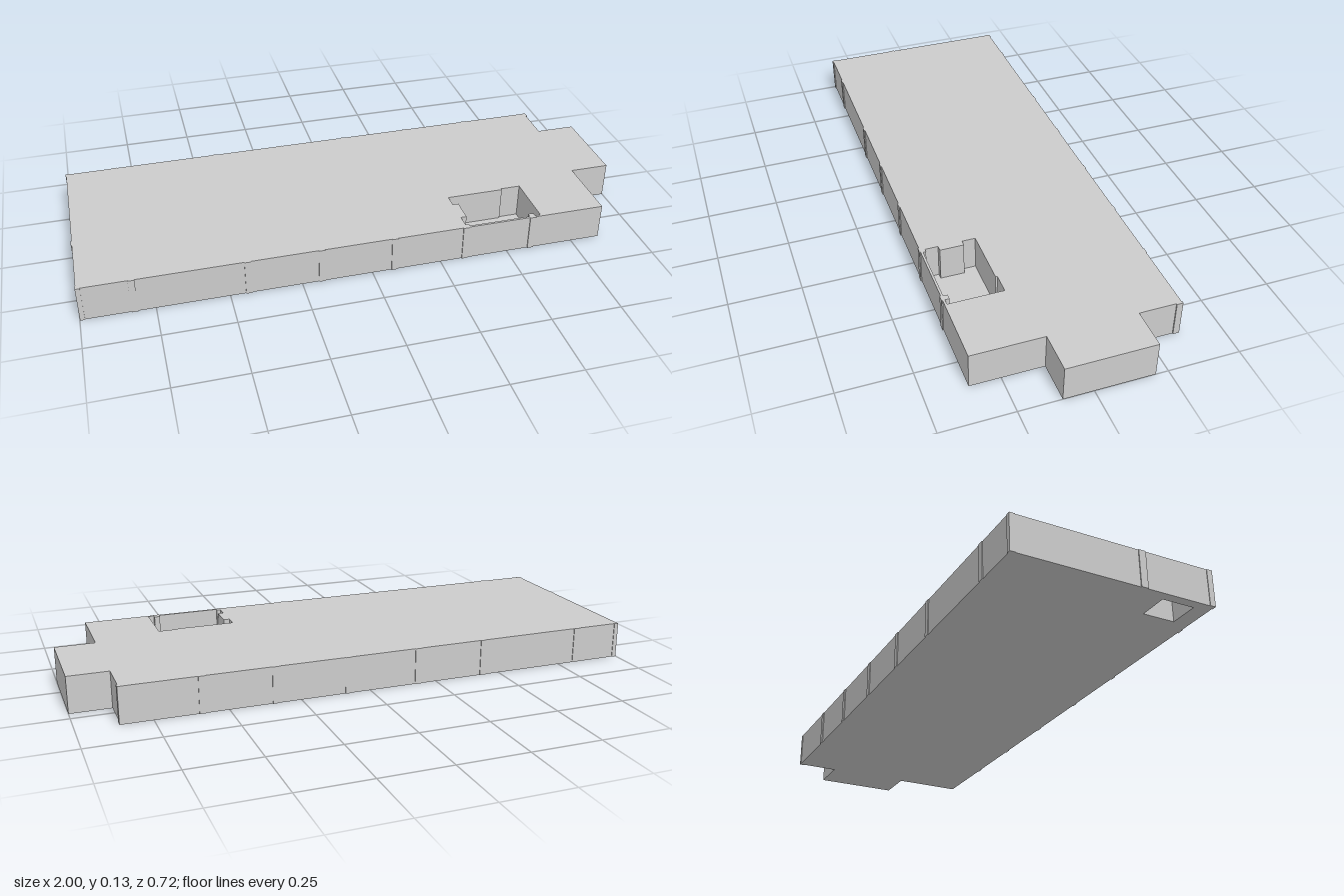
import * as THREE from 'three';

const H = 0.13;     // slab height
const SKIN = 0.005; // thickness left at the end of each recess

const material = new THREE.MeshStandardMaterial({ color: 0xcccccc, flatShading: true });

// plan points are [x, z]
const toPoints = (plan) => plan.map(([x, z]) => new THREE.Vector2(x, -z));

function addPlate(group, name, plan, y, height, holes = []) {
  const shape = new THREE.Shape(toPoints(plan));
  for (const hole of holes) shape.holes.push(new THREE.Path(toPoints(hole)));
  const geometry = new THREE.ExtrudeGeometry(shape, { depth: height, bevelEnabled: false });
  geometry.rotateX(-Math.PI / 2);
  const mesh = new THREE.Mesh(geometry, material);
  mesh.name = name;
  mesh.position.y = y;
  group.add(mesh);
}

function addRib(group, name, x, z, width, depth) {
  const mesh = new THREE.Mesh(new THREE.BoxGeometry(width, H, depth), material);
  mesh.name = name;
  mesh.position.set(x, H / 2, z);
  group.add(mesh);
}

export function createModel() {
  const group = new THREE.Group();
  group.name = 'slab';

  // outline with the projecting block at the left end
  const outline = [
    [-0.997, 0.356], [0.857, 0.356], [0.857, 0.104], [1, 0.104],
    [1, -0.207], [0.857, -0.207], [0.857, -0.357], [-0.997, -0.357],
  ];

  // notched well open at the top
  const well = [
    [0.342, 0.16], [0.55, 0.16], [0.55, 0.154], [0.621, 0.154], [0.621, 0.348],
    [0.6, 0.348], [0.6, 0.333], [0.58, 0.333], [0.58, 0.348],
    [0.355, 0.348], [0.355, 0.338], [0.342, 0.338],
    [0.342, 0.292], [0.363, 0.292], [0.363, 0.207], [0.342, 0.207],
  ];

  // small pocket open underneath
  const pocket = [[-0.965, 0.185], [-0.865, 0.185], [-0.865, 0.3], [-0.965, 0.3]];

  addPlate(group, 'body', outline, 0, H, [well, pocket]);
  addPlate(group, 'wellFloor', well, 0, SKIN);
  addPlate(group, 'pocketCeiling', pocket, H - SKIN, SKIN);

  // shallow ribs along both long sides
  for (const x of [-0.82, -0.435, -0.18, 0.08, 0.34, 0.59]) {
    for (const side of [-1, 1]) addRib(group, 'sideRib', x, side * 0.3565, 0.022, 0.006);
  }

  // end ribs
  addRib(group, 'endRib', -0.9965, 0.097, 0.007, 0.025);
  for (const side of [-1, 1]) addRib(group, 'cornerRib', -0.991, side * 0.349, 0.016, 0.02);
  addRib(group, 'cornerRib', 0.856, -0.348, 0.01, 0.022);

  return group;
}
